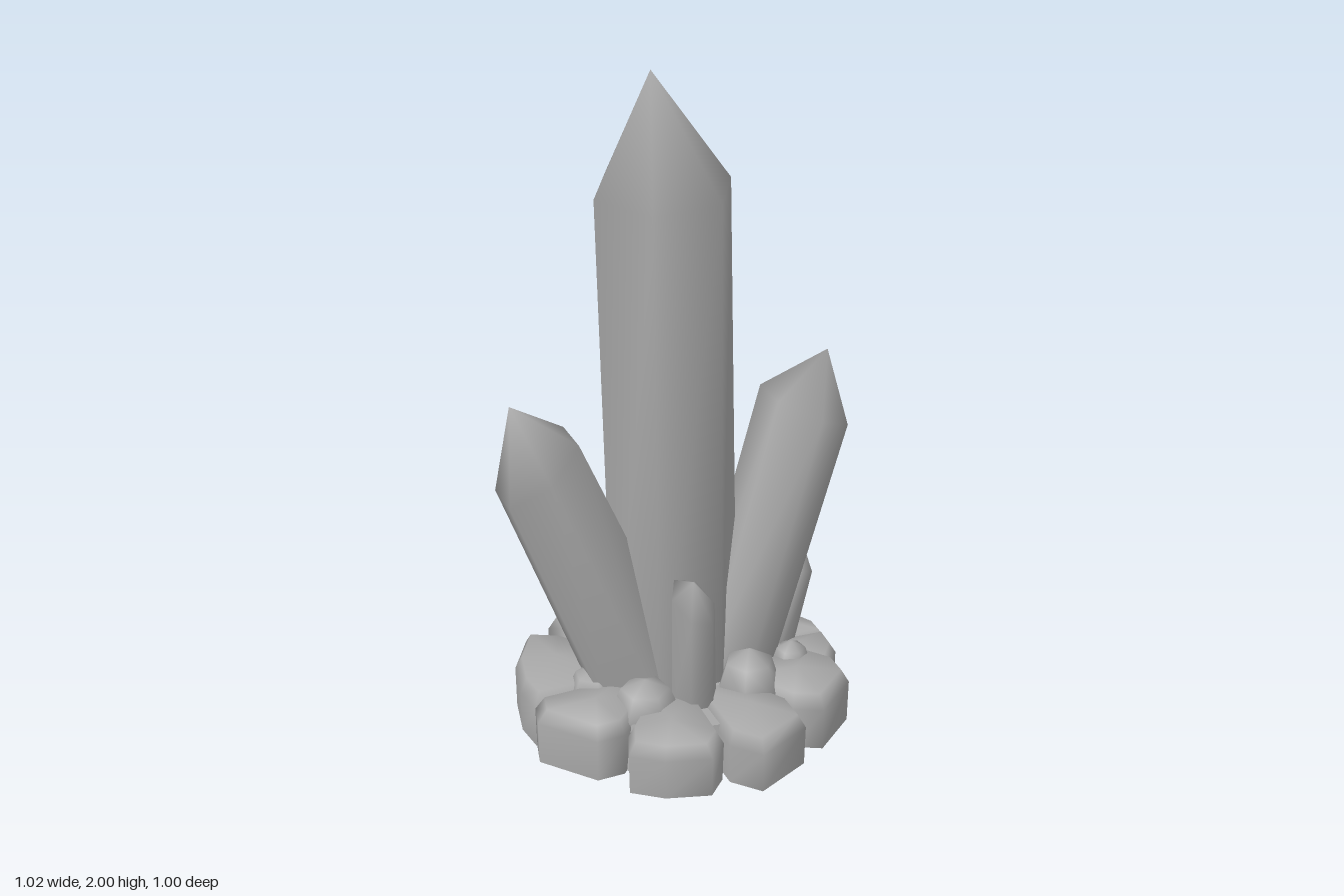
import * as THREE from 'three';

const stone = new THREE.MeshStandardMaterial({ color: 0xa8a8a8 });
stone.name = 'grey stone';

// Smooth surface through equal rings (anticlockwise seen from above), closed by a top point
function loft(rings, top) {
  const n = rings[0].length, index = [];
  const pts = [...rings.flat(), top];
  for (let r = 0; r < rings.length; r++) {
    for (let j = 0; j < n; j++) {
      const a = r * n + j, b = r * n + (j + 1) % n;
      if (r === rings.length - 1) index.push(a, b, pts.length - 1);
      else index.push(a, b, b + n, a, b + n, a + n);
    }
  }
  const geo = new THREE.BufferGeometry();
  geo.setAttribute('position', new THREE.Float32BufferAttribute(pts.flat(), 3));
  geo.setIndex(index);
  geo.computeVertexNormals();
  return geo;
}

// Six-sided ring; u and v are half extents, cornersOnU puts corners at +-u, else at +-v
function hexRing({ c, u, v }, cornersOnU) {
  const k = 1 / Math.cos(Math.PI / 6);
  const ku = cornersOnU ? 1 : k, kv = cornersOnU ? k : 1;
  return Array.from({ length: 6 }, (_, i) => {
    const t = (i + (cornersOnU ? 0 : 0.5)) * Math.PI / 3;
    return c.map((p, a) => p + u[a] * ku * Math.cos(t) + v[a] * kv * Math.sin(t));
  });
}

const crystals = [
  { name: 'mainCrystal', cornersOnU: true, tip: [-0.07, 2, 0],
    base: { c: [0.005, 0.05, 0], u: [0.195, 0, 0], v: [0, 0, -0.115] },
    shoulder: { c: [-0.035, 1.66, 0], u: [0.2, 0.005, 0], v: [0, 0, -0.18] } },
  { name: 'rightCrystal', cornersOnU: false, tip: [0.47, 1.1, 0],
    base: { c: [0.16, 0.1, 0], u: [0.105, -0.03, 0], v: [0, 0, -0.14] },
    shoulder: { c: [0.4, 0.935, 0], u: [0.11, -0.055, 0], v: [0, 0, -0.13] } },
  { name: 'leftCrystal', cornersOnU: false, tip: [-0.49, 1.085, 0],
    base: { c: [-0.09, 0.1, 0], u: [0.135, 0.05, 0], v: [0, 0, -0.135] },
    shoulder: { c: [-0.412, 0.88, -0.005], u: [0.103, 0.08, 0], v: [0, 0, -0.13] } },
  { name: 'smallRightCrystal', cornersOnU: false, tip: [0.43, 0.46, -0.06],
    base: { c: [0.315, 0.1, -0.05], u: [0.06, -0.02, 0], v: [0, 0, -0.075] },
    shoulder: { c: [0.392, 0.4, -0.05], u: [0.053, -0.03, 0], v: [0, 0, -0.075] } },
  ...[1, -1].map((s) => ({
    name: s > 0 ? 'smallFrontCrystal' : 'smallBackCrystal', cornersOnU: true, tip: [-0.05, 0.582, s * 0.265],
    base: { c: [-0.005, 0.1, s * 0.165], u: [0.07, 0, 0], v: [0, s * 0.01, -0.06] },
    shoulder: { c: [-0.038, 0.5, s * 0.236], u: [0.065, -0.018, 0], v: [0, s * 0.035, -0.066] } })),
];

// Rock outlines as [x, z], each with its top height
const rocks = [
  [0.18, [[0, -.41], [-.06, -.5], [-.265, -.375], [-.25, -.28], [-.14, -.12], [0, -.15]]],
  [0.18, [[.27, -.3], [.285, -.41], [.22, -.455], [.04, -.475], [0, -.4], [.02, -.15], [.13, -.12]]],
  [0.17, [[.5, 0], [.5, -.06], [.43, -.19], [.335, -.32], [.25, -.29], [.14, -.1], [.2, 0]]],
  [0.16, [[.43, .15], [.5, .05], [.505, -.03], [.2, -.05], [.18, .1]]],
  [0.18, [[.24, .32], [.32, .36], [.455, .24], [.455, .15], [.4, .08], [.15, .07], [.13, .15]]],
  [0.17, [[0, .42], [.07, .5], [.24, .41], [.24, .3], [.13, .12], [0, .15]]],
  [0.17, [[-.25, .27], [-.285, .365], [-.2, .43], [-.07, .465], [-.01, .4], [0, .15], [-.13, .12]]],
  [0.18, [[-.45, .04], [-.47, .12], [-.345, .275], [-.26, .27], [-.13, .13], [-.15, .02]]],
  [0.175, [[-.26, -.29], [-.35, -.335], [-.43, -.2], [-.46, -.06], [-.45, .04], [-.18, .04], [-.13, -.12]]],
];

function rockGeometry(h, outline) {
  const n = outline.length;
  const cx = outline.reduce((s, p) => s + p[0], 0) / n;
  const cz = outline.reduce((s, p) => s + p[1], 0) / n;
  const ring = (y, k) => outline.map(([x, z]) => [cx + (x - cx) * k, y, cz + (z - cz) * k]);
  return loft([ring(0, 0.98), ring(h * 0.72, 1), ring(h - 0.008, 0.84)], [cx, h + 0.012, cz]);
}

// Loose lumps between the crystals: x, z, radius, top height
const lumps = [
  [0.16, 0.18, 0.1, 0.275], [-0.16, 0.17, 0.1, 0.235], [-0.18, -0.19, 0.1, 0.225],
  [0.18, -0.19, 0.1, 0.23], [0.33, 0.1, 0.06, 0.22], [-0.26, 0.02, 0.08, 0.215], [0.31, -0.13, 0.06, 0.21],
];

export function createModel() {
  const model = new THREE.Group();
  model.name = 'crystalCluster';
  const add = (geo, name, parent) => {
    const mesh = new THREE.Mesh(geo, stone);
    mesh.name = name;
    parent.add(mesh);
    return mesh;
  };

  for (const { name, base, shoulder, tip, cornersOnU } of crystals) {
    add(loft([hexRing(base, cornersOnU), hexRing(shoulder, cornersOnU)], tip), name, model);
  }

  const base = new THREE.Group();
  base.name = 'rockBase';
  model.add(base);
  rocks.forEach(([h, outline], i) => {
    add(rockGeometry(h, outline), `rock${i + 1}`, base);
    // flat underside
    const shape = new THREE.Shape(outline.map(([x, z]) => new THREE.Vector2(x * 0.99, z * 0.99)));
    add(new THREE.ShapeGeometry(shape), `rockUnderside${i + 1}`, base).rotation.x = Math.PI / 2;
  });

  // Core that fills the middle of the ring
  add(new THREE.CylinderGeometry(0.33, 0.36, 0.14, 18), 'rockCore', base).position.y = 0.07;

  lumps.forEach(([x, z, r, top], i) => {
    const lump = add(new THREE.SphereGeometry(r, 6, 4), `lump${i + 1}`, base);
    lump.position.set(x, 0.14, z);
    lump.scale.y = (top - 0.14) / r;
    lump.rotation.y = i * 0.7;
  });
  return model;
}
